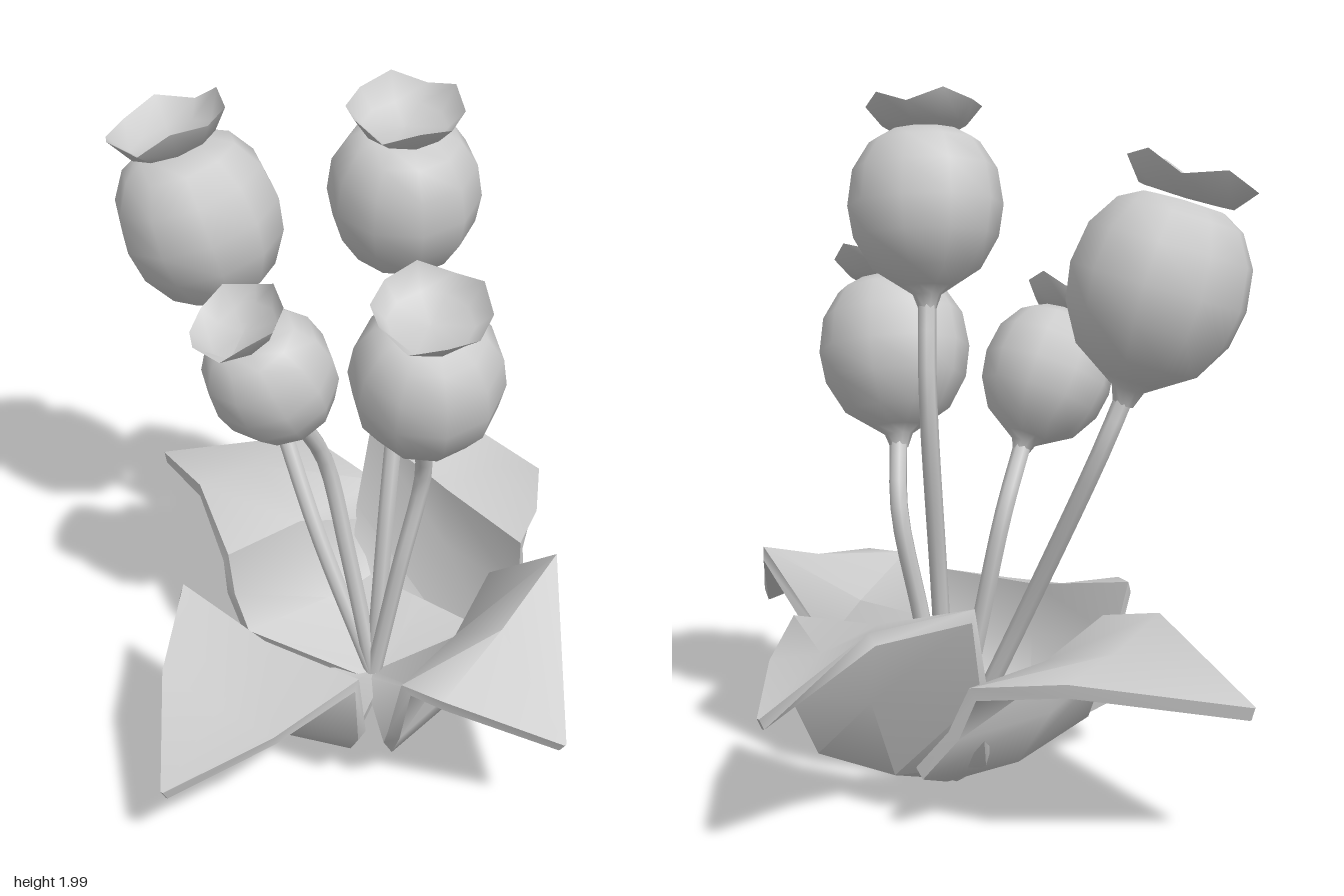
import * as THREE from 'three';
import { toCreasedNormals } from 'three/addons/utils/BufferGeometryUtils.js';

const V = (a) => new THREE.Vector3(...a);
const BASE = [0.08, 0.055, -0.11];
const grey = new THREE.MeshStandardMaterial({ color: 0xcccccc });
const greyThin = new THREE.MeshStandardMaterial({ color: 0xcccccc, side: THREE.DoubleSide });

function addMesh(parent, name, geometry, material = grey) {
  const mesh = new THREE.Mesh(geometry, material);
  mesh.name = name;
  parent.add(mesh);
}

// Thick leaf lofted from the base over [left, right] edge pairs to a pointed tip
function leafGeometry(edges, tip, thickness = 0.038) {
  const base = V(BASE);
  const out = V(tip).sub(base).setY(0).normalize();
  const side = new THREE.Vector3(out.z, 0, -out.x);
  const pair = (p, w) => [p.clone().addScaledVector(side, -w), p.clone().addScaledVector(side, w)];
  const rows = [pair(base, 0.04), ...edges.map(([l, r]) => [V(l), V(r)]), pair(V(tip), 0.004)];
  const mids = rows.map(([l, r]) => l.clone().add(r).multiplyScalar(0.5));
  const bulge = [0, 0.05, 0.055, 0.035, 0.02, 0];
  const upper = [], lower = [];
  rows.forEach(([l, r], i) => {
    const along = mids[Math.min(i + 1, rows.length - 1)].clone().sub(mids[Math.max(i - 1, 0)]);
    const n = along.cross(r.clone().sub(l)).normalize();
    const mid = mids[i].clone().addScaledVector(n, -bulge[i]);
    upper.push([l, mid, r]);
    lower.push([l, mid, r].map((p) => p.clone().addScaledVector(n, -thickness)));
  });
  const pos = [];
  const quad = (a, b, c, d) => [a, b, c, a, c, d].forEach((p) => pos.push(p.x, p.y, p.z));
  const last = rows.length - 1;
  for (let i = 0; i < last; i++) {
    const u = upper[i], u2 = upper[i + 1], b = lower[i], b2 = lower[i + 1];
    for (let j = 0; j < 2; j++) {
      quad(u[j], u2[j], u2[j + 1], u[j + 1]);
      quad(b[j], b[j + 1], b2[j + 1], b2[j]);
    }
    quad(u[0], b[0], b2[0], u2[0]);
    quad(u[2], u2[2], b2[2], b[2]);
  }
  // End caps at base and tip
  for (let j = 0; j < 2; j++) {
    quad(upper[0][j], upper[0][j + 1], lower[0][j + 1], lower[0][j]);
    quad(upper[last][j], lower[last][j], lower[last][j + 1], upper[last][j + 1]);
  }
  const g = new THREE.BufferGeometry();
  g.setAttribute('position', new THREE.Float32BufferAttribute(pos, 3));
  return toCreasedNormals(g, 0.9);
}

const lathe = (pts) => new THREE.LatheGeometry(pts.map(([r, y]) => new THREE.Vector2(r, y)), 10);

// Round pod, one unit from neck to crown
const podGeometry = lathe([
  [0.05, -0.08], [0.08, 0], [0.15, 0.045], [0.3, 0.14], [0.405, 0.32],
  [0.435, 0.5], [0.405, 0.7], [0.31, 0.85], [0.2, 0.91], [0, 0.92],
]);

// Dished crown with a rim of four waves
function crownGeometry() {
  const g = lathe([[0, 0.93], [0.235, 0.94], [0.325, 1.06]]);
  const p = g.attributes.position;
  for (let i = 0; i < p.count; i++) {
    const x = p.getX(i), z = p.getZ(i);
    if (Math.hypot(x, z) > 0.3) p.setY(i, p.getY(i) - 0.04 * Math.cos(4 * Math.atan2(x, z)));
  }
  g.computeVertexNormals();
  return g;
}

// Leaves: lower, belly, fold and shoulder edge pairs, then the tip
const LEAVES = {
  frontLeaf: {
    edges: [
      [[-0.31, 0.19, 0.25], [0.2, 0.18, 0.33]],
      [[-0.33, 0.36, 0.29], [0.27, 0.29, 0.41]],
      [[-0.37, 0.54, 0.29], [0.26, 0.5, 0.44]],
      [[-0.28, 0.47, 0.595], [0.105, 0.42, 0.675]],
    ],
    tip: [-0.135, 0.31, 0.885],
  },
  leftLeaf: {
    edges: [
      [[0.29, 0.18, 0.32], [0.36, 0.24, -0.2]],
      [[0.35, 0.34, 0.44], [0.41, 0.36, -0.24]],
      [[0.395, 0.54, 0.46], [0.405, 0.45, -0.245]],
      [[0.525, 0.54, 0.48], [0.65, 0.68, -0.11]],
    ],
    tip: [0.845, 0.41, 0.37],
  },
  backLeftLeaf: {
    edges: [
      [[0.4, 0.17, -0.31], [-0.12, 0.22, -0.4]],
      [[0.48, 0.34, -0.32], [-0.13, 0.42, -0.46]],
      [[0.48, 0.54, -0.31], [-0.12, 0.67, -0.55]],
      [[0.45, 0.49, -0.57], [0.1, 0.65, -0.765]],
    ],
    tip: [0.355, 0.44, -0.885],
  },
  backRightLeaf: {
    edges: [
      [[0.05, 0.21, -0.53], [-0.28, 0.22, 0.05]],
      [[-0.05, 0.33, -0.56], [-0.32, 0.36, 0.06]],
      [[-0.11, 0.46, -0.57], [-0.34, 0.5, 0.055]],
      [[-0.39, 0.52, -0.65], [-0.54, 0.58, -0.15]],
    ],
    tip: [-0.845, 0.44, -0.47],
  },
};

// Flowers: stem bends, pod bottom and pod top
const FLOWERS = [
  { name: 'rightFlower', bends: [[-0.13, 0.49, -0.16], [-0.4, 1.06, -0.28]], bottom: [-0.46, 1.22, -0.25], top: [-0.605, 1.76, -0.18] },
  { name: 'tallFlower', bends: [[0.09, 0.6, -0.17], [0.085, 1.2, -0.29]], bottom: [0.1, 1.455, -0.24], top: [0.135, 1.935, -0.145] },
  { name: 'leftFlower', bends: [[0.16, 0.49, -0.11], [0.22, 0.82, -0.13]], bottom: [0.25, 1.025, -0.04], top: [0.32, 1.5, 0.11] },
  { name: 'smallFlower', bends: [[-0.015, 0.49, -0.12], [-0.08, 0.82, -0.1]], bottom: [-0.11, 1.01, 0.01], top: [-0.21, 1.395, 0.185] },
];

export function createModel() {
  const model = new THREE.Group();
  model.name = 'plant';

  for (const [name, { edges, tip }] of Object.entries(LEAVES)) {
    addMesh(model, name, leafGeometry(edges, tip));
  }

  const crown = crownGeometry();
  for (const { name, bends, bottom, top } of FLOWERS) {
    const flower = new THREE.Group();
    flower.name = name;
    model.add(flower);

    const path = new THREE.CatmullRomCurve3([BASE, ...bends, bottom].map(V));
    addMesh(flower, 'stem', new THREE.TubeGeometry(path, 14, 0.026, 7));

    // Pod and crown lean along the line from bottom to top
    const axis = V(top).sub(V(bottom));
    const head = new THREE.Group();
    head.name = 'head';
    head.position.set(...bottom);
    head.scale.setScalar(axis.length());
    head.quaternion.setFromUnitVectors(new THREE.Vector3(0, 1, 0), axis.normalize());
    flower.add(head);
    addMesh(head, 'pod', podGeometry);
    addMesh(head, 'crown', crown, greyThin);
  }
  return model;
}
